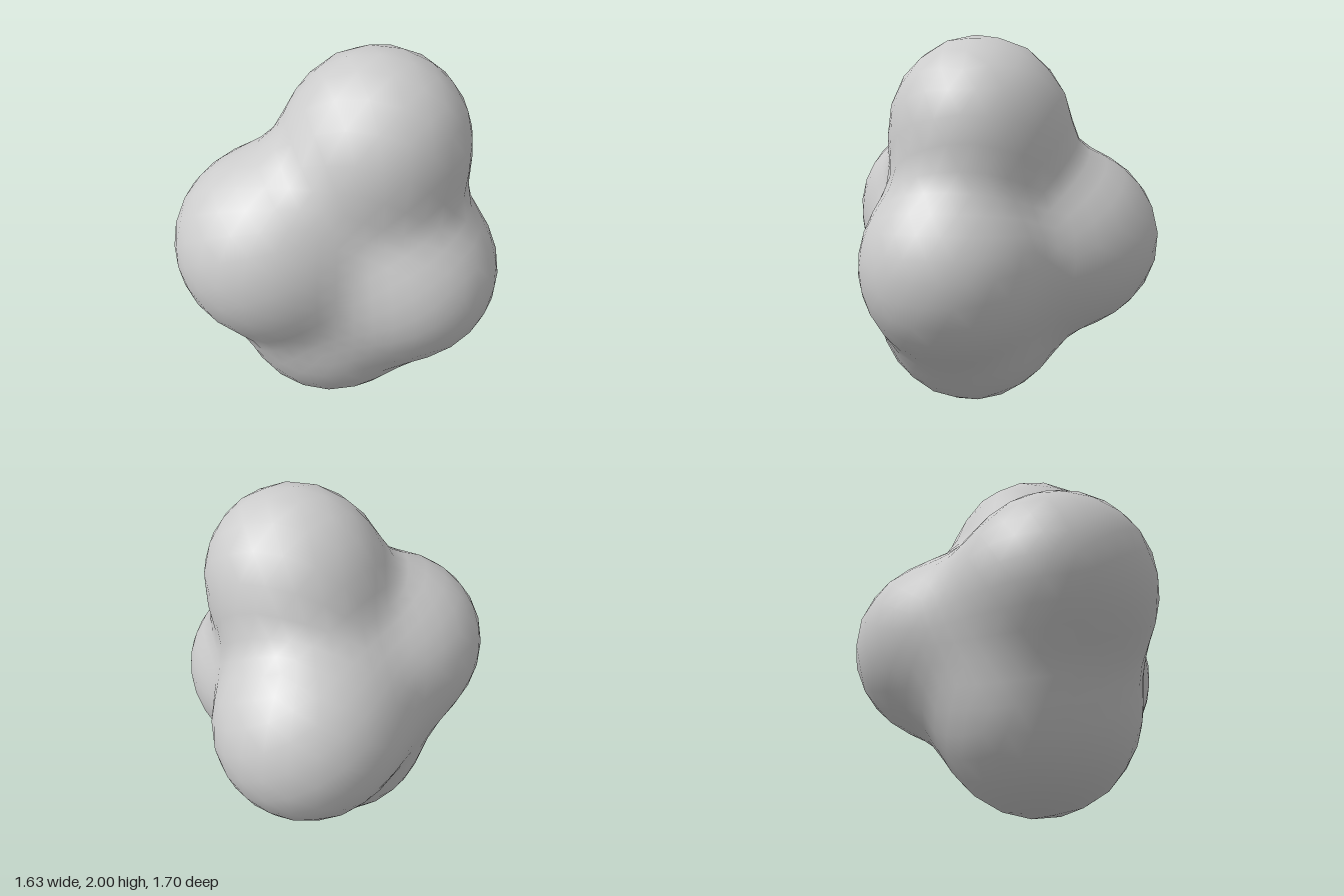
import * as THREE from 'three';
import { mergeVertices } from 'three/addons/utils/BufferGeometryUtils.js';

// Lobes of the blob: centre x, y, z and radius
const LOBES = [
  [0.15, 1.54, 0.08, 0.46], // top
  [-0.33, 1.05, 0.36, 0.488], // front right
  [0.345, 0.85, 0.19, 0.47], // left
  [-0.06, 0.94, -0.385, 0.468], // back
  [-0.075, 0.5, 0.165, 0.5], // bottom
  [-0.14, 0.92, -0.05, 0.405], // core, fills the hollows
].map(([x, y, z, r]) => ({ centre: new THREE.Vector3(x, y, z), r }));
const BLEND = 0.095;

// Smoothly blended distance to all lobes
function distance(p) {
  let sum = 0;
  for (const { centre, r } of LOBES) sum += Math.exp((r - p.distanceTo(centre)) / BLEND);
  return -BLEND * Math.log(sum);
}

export function createModel() {
  const group = new THREE.Group();
  group.name = 'blob';

  // Shared vertices, so the normals come out smooth
  let geometry = new THREE.IcosahedronGeometry(1, 7);
  geometry.deleteAttribute('normal');
  geometry.deleteAttribute('uv');
  geometry = mergeVertices(geometry, 1e-4);

  // Shrink the sphere onto the blended lobes along rays to the middle
  const middle = new THREE.Vector3(0, 0.98, 0.1);
  const position = geometry.attributes.position;
  const dir = new THREE.Vector3();
  const p = new THREE.Vector3();
  for (let i = 0; i < position.count; i++) {
    dir.fromBufferAttribute(position, i).normalize();
    let t = 1.6;
    for (let step = 0; step < 80; step++) {
      p.copy(middle).addScaledVector(dir, t);
      t -= distance(p);
    }
    p.copy(middle).addScaledVector(dir, t);
    position.setXYZ(i, p.x, p.y, p.z);
  }
  geometry.computeVertexNormals();

  const body = new THREE.Mesh(geometry, new THREE.MeshStandardMaterial({ color: 0xcccccc }));
  body.name = 'lobedBody';
  group.add(body);
  return group;
}
